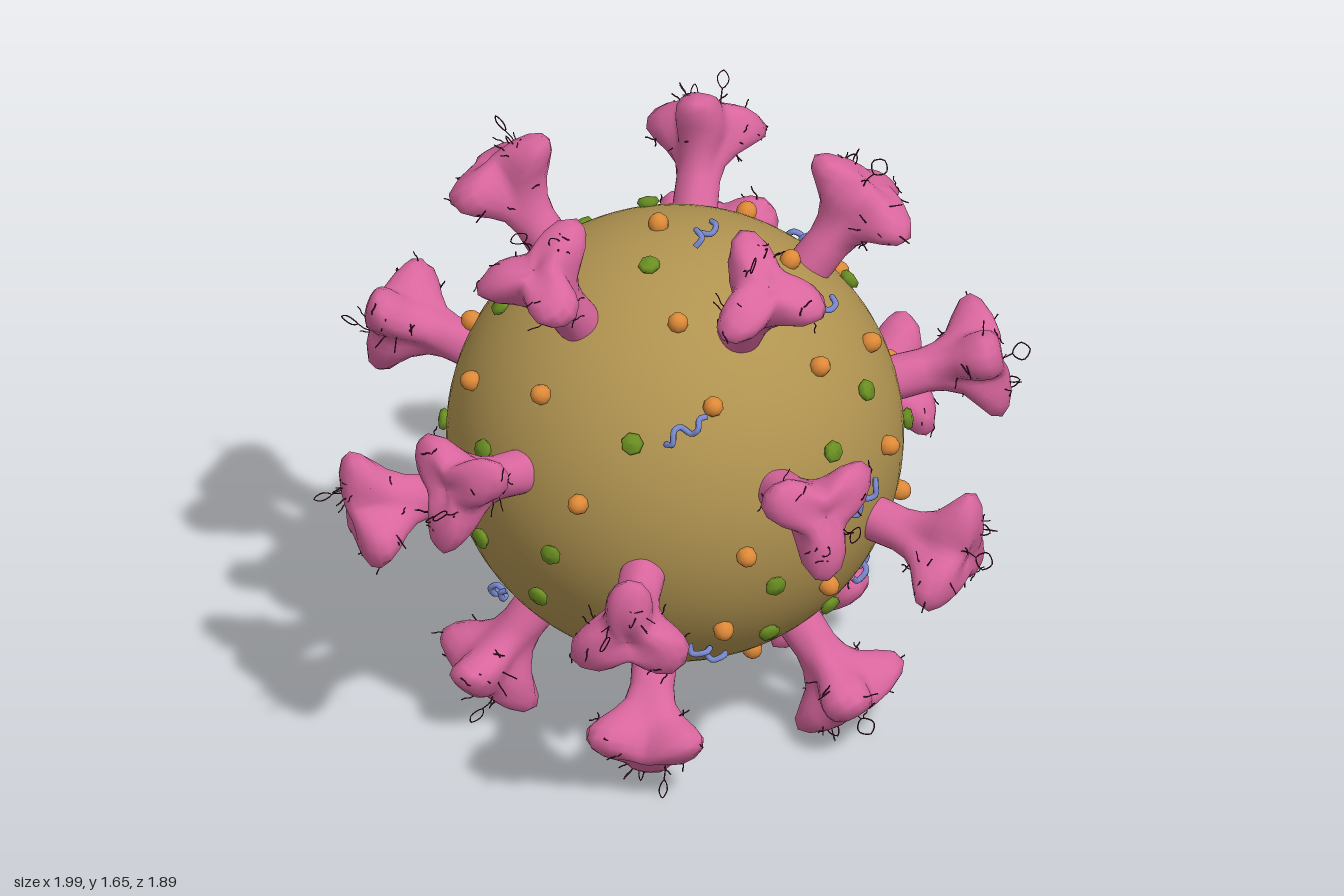
import * as THREE from 'three';
import { mergeGeometries } from 'three/addons/utils/BufferGeometryUtils.js';

const mat = (name, color) => Object.assign(new THREE.MeshStandardMaterial({ color }), { name });
const RAD = Math.PI / 180, R = 0.625;
const V = (x, y, z) => new THREE.Vector3(x, y, z);

let seed = 7;
const rnd = () => (seed = (seed * 16807) % 2147483647) / 2147483647;

// outward, east and north directions at an azimuth and elevation on the ball
function frame(azimuth, elevation) {
  const a = azimuth * RAD, e = elevation * RAD;
  return {
    out: V(Math.cos(a) * Math.cos(e), Math.sin(e), Math.sin(a) * Math.cos(e)),
    east: V(Math.sin(a), 0, -Math.cos(a)),
    north: V(-Math.cos(a) * Math.sin(e), Math.cos(e), -Math.sin(a) * Math.sin(e)),
  };
}

// turn an object so its y axis is "out" and its x axis is "side"
function orient(object, out, side) {
  const z = side.clone().cross(out).normalize();
  const x = out.clone().cross(z);
  object.quaternion.setFromRotationMatrix(new THREE.Matrix4().makeBasis(x, out, z));
}

// spike outline: distance from ball centre, round radius, extra reach of the three lobes
const SPIKE = [
  [0.57, 0.055, 0], [0.63, 0.062, 0], [0.70, 0.058, 0.004], [0.745, 0.06, 0.014],
  [0.785, 0.067, 0.036], [0.815, 0.075, 0.068], [0.845, 0.08, 0.098], [0.875, 0.08, 0.106],
  [0.9, 0.074, 0.092], [0.916, 0.06, 0.066], [0.921, 0.042, 0.04], [0.912, 0.02, 0.012], [0.908, 0.001, 0],
];

function spikePoint(row, theta) {
  const [y, round, lobe] = SPIKE[row];
  const isHead = lobe > 0.03;
  const swell = Math.pow((1 + Math.cos(3 * theta)) / 2, 1.15);
  const lump = 1 + (isHead ? 0.05 : 0.015) * Math.sin(5 * theta + row);
  const r = (round + lobe * swell) * lump;
  const tilt = isHead ? 0.006 * Math.sin(2 * theta + 1) : 0;
  return V(r * Math.cos(theta), y + tilt, r * Math.sin(theta));
}

function spikeGeometry() {
  const n = 30, pos = [], index = [];
  SPIKE.forEach((_, i) => {
    for (let j = 0; j < n; j++) pos.push(...spikePoint(i, (j / n) * Math.PI * 2).toArray());
  });
  for (let i = 0; i < SPIKE.length - 1; i++) {
    for (let j = 0; j < n; j++) {
      const a = i * n + j, b = i * n + (j + 1) % n;
      index.push(a, a + n, b, b, a + n, b + n);
    }
  }
  const g = new THREE.BufferGeometry();
  g.setAttribute('position', new THREE.Float32BufferAttribute(pos, 3));
  g.setIndex(index);
  g.computeVertexNormals();
  return g;
}

const wire = (points, segments, radius, sides, closed = false) =>
  new THREE.TubeGeometry(new THREE.CatmullRomCurve3(points, closed), segments, radius, sides, closed);

// fine dark strands growing from the spike head
function strandGeometry() {
  const parts = [];
  // short crooked hairs lying close to the lobes
  for (let k = 0; k < 24; k++) {
    const theta = (k % 3) * 120 * RAD + (rnd() - 0.5) * 1.3;
    const start = spikePoint(4 + Math.floor(rnd() * 6), theta);
    const out = V(start.x, (start.y - 0.83) * 1.5, start.z).normalize();
    const side = V(-out.z, rnd() - 0.5, out.x).multiplyScalar(rnd() < 0.5 ? -1 : 1);
    const points = [-0.004, 0.005, 0.006, 0.013].map((lift, i) => start.clone()
      .addScaledVector(out, lift)
      .addScaledVector(side, i * 0.013 + (rnd() - 0.5) * 0.008));
    parts.push(wire(points, 7, 0.0019, 4));
  }
  // tall leaf-shaped loops with a stalk
  for (const [x, z, top, w] of [[0.045, -0.05, 1.0, 0.02], [0.09, 0.02, 0.95, 0.012]]) {
    parts.push(wire([V(x, 0.9, z), V(x + 0.006, 0.925, z), V(x, top - 0.05, z)], 5, 0.0019, 4));
    parts.push(wire([V(x, top - 0.05, z), V(x + w, top - 0.025, z + w * 0.7), V(x, top, z),
      V(x - w, top - 0.022, z - w * 0.7)], 14, 0.0019, 4, true));
  }
  return mergeGeometries(parts);
}

// main surface proteins, as [east, north] percent of the ball radius on each side of the ball
const PATCHES = [
  { azimuth: 90, elevation: 0,
    orange: [[-46, 57], [8, 60], [49, 52], [0, 9], [38, 14], [-46, -9], [1, -40], [-45, -51]],
    green: [[-76, 43], [30, 42], [-1, 28], [-31, -28], [-3, -9], [-21, -60], [15, -60]],
    blue: [[-59, 49], [27, 74], [13, 2], [-44, -64], [53, -62]] },
  { azimuth: 0, elevation: 0,
    orange: [[13, 81], [-17, 53], [-7, 12], [-26, -50]],
    green: [[-35, 61], [4, 32], [33, 58], [26, 1], [62, -36], [-45, -64]],
    blue: [[1, 62], [45, -31], [-64, -62]] },
  { azimuth: 90, elevation: 90,
    orange: [[-43, 24], [-1, 9], [62, 15], [32, -38], [-38, -39]],
    green: [[-57, 49], [21, 37], [-26, -10], [1, -53]],
    blue: [[6, -12], [85, 3], [28, -66]] },
  { azimuth: 234, elevation: 22,
    orange: [[39, 6], [-28, -53], [70, 31]],
    green: [[-35, 23], [22, 27], [61, -51]],
    blue: [[-54, 16], [64, 33], [43, -32], [-55, -64]] },
  { azimuth: -50, elevation: -30,
    orange: [[-16, 46], [-52, -1], [-7, -55]],
    green: [[-13, 15], [22, -13], [-35, -48]],
    blue: [[-38, 18], [65, 8]] },
];

export function createModel() {
  const model = new THREE.Group();
  const body = new THREE.Group();
  body.name = 'particle';
  body.position.set(-0.01, 0.845, 0.015);
  model.add(body);

  const tan = mat('tan membrane', 0xb09350), pink = mat('pink spike', 0xd9669e);
  const dark = mat('dark strand', 0x521d33), orange = mat('orange knob', 0xdf8a38);
  const green = mat('green knob', 0x6a8f22), blue = mat('blue squiggle', 0x7888d0);

  const add = (parent, name, geometry, material) => {
    const mesh = new THREE.Mesh(geometry, material);
    mesh.name = name;
    parent.add(mesh);
    return mesh;
  };

  add(body, 'membrane', new THREE.SphereGeometry(R, 64, 48), tan);

  // twenty spikes on the corners of a dodecahedron, one lobe along each meridian
  const spike = spikeGeometry(), strands = strandGeometry(), stems = [];
  for (const [elevation, turn, lobe] of [[52.6, 36, 1], [10.8, 36, -1], [-10.8, 0, 1], [-52.6, 0, -1]]) {
    for (let k = 0; k < 5; k++) {
      const { out, north } = frame(turn + k * 72, elevation);
      const group = new THREE.Group();
      group.name = 'spike';
      add(group, 'spikeHead', spike, pink);
      add(group, 'spikeStrands', strands, dark);
      orient(group, out, north.multiplyScalar(lobe));
      body.add(group);
      stems.push(out);
    }
  }

  // small proteins on the membrane
  const knob = new THREE.SphereGeometry(0.029, 9, 7).scale(1, 1.1, 1);
  const cap = new THREE.LatheGeometry([[0.016, -0.02], [0.025, 0.002], [0.032, 0.01], [0.026, 0.022], [0, 0.027]]
    .map(([x, y]) => new THREE.Vector2(x, y)), 7);
  const squiggle = wire([V(-0.065, 0.006, 0.012), V(-0.05, 0.03, 0.02), V(-0.03, 0.034, -0.012), V(-0.008, 0.016, -0.012),
    V(0.01, 0.018, 0.016), V(0.03, 0.034, 0.014), V(0.045, 0.03, -0.01), V(0.066, 0.014, -0.008)], 30, 0.0085, 7);
  const kinds = {
    orange: { name: 'orangeKnob', geometry: knob, material: orange, radius: R + 0.008 },
    green: { name: 'greenKnob', geometry: cap, material: green, radius: R },
    blue: { name: 'blueSquiggle', geometry: squiggle, material: blue, radius: R },
  };
  const placed = [];
  const place = (key, out, side) => {
    const { name, geometry, material, radius } = kinds[key];
    const mesh = add(body, name, geometry, material);
    orient(mesh, out, side);
    mesh.position.copy(out).multiplyScalar(radius);
    placed.push(out);
  };
  for (const { azimuth, elevation, ...bits } of PATCHES) {
    const { out, east, north } = frame(azimuth, elevation);
    for (const key in bits) {
      for (const [u, v] of bits[key]) {
        const x = u / 100, y = v / 100;
        const d = out.clone().multiplyScalar(Math.sqrt(1 - x * x - y * y)).addScaledVector(east, x).addScaledVector(north, y);
        if (placed.every(p => p.distanceTo(d) > 0.13)) place(key, d, east.clone().addScaledVector(north, rnd() - 0.6));
      }
    }
  }
  // fill the remaining gaps evenly, clear of the spike stems
  const count = 150;
  for (let i = 0; i < count; i++) {
    const { out, east, north } = frame(i * 137.508, Math.asin(1 - (2 * i + 1) / count) / RAD);
    const pick = rnd();
    if (stems.some(s => s.distanceTo(out) < 0.17) || placed.some(p => p.distanceTo(out) < 0.3)) continue;
    place(pick < 0.45 ? 'orange' : pick < 0.85 ? 'green' : 'blue', out, east.addScaledVector(north, rnd() - 0.6));
  }
  return model;
}
